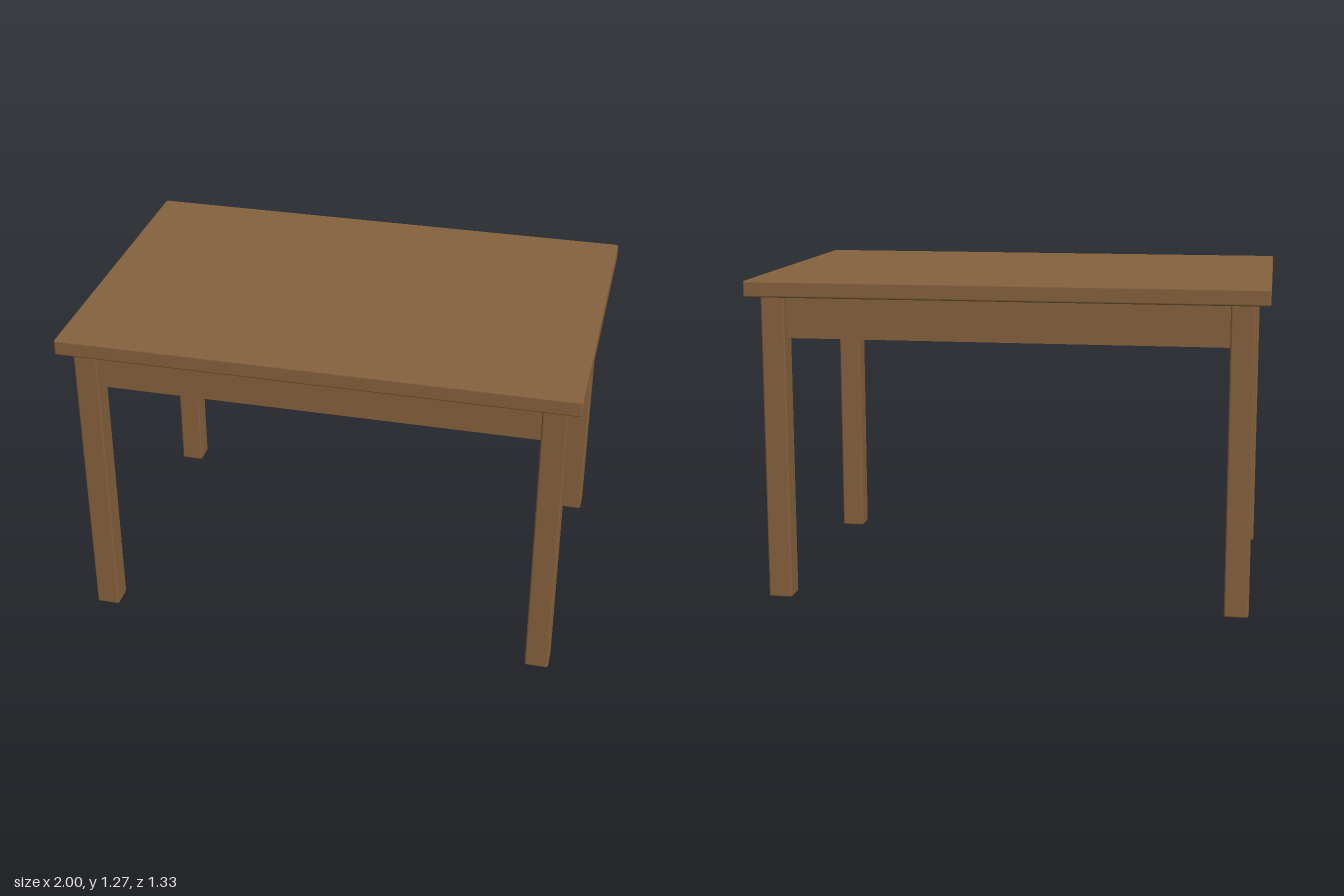
import * as THREE from 'three';
import { RoundedBoxGeometry } from 'three/addons/geometries/RoundedBoxGeometry.js';

const TOP = 1.267, UNDERSIDE = 1.203, APRON_BOTTOM = 1.037;
const BEVEL = 0.008;

export function createModel() {
  const table = new THREE.Group();
  table.name = 'table';

  const wood = new THREE.MeshStandardMaterial({ color: 0x86623e });
  wood.name = 'brown wood';

  function addPart(name, geometry, x, y, z) {
    const mesh = new THREE.Mesh(geometry, wood);
    mesh.name = name;
    mesh.position.set(x, y, z);
    table.add(mesh);
  }

  // Tabletop with softened edges
  const topHeight = TOP - UNDERSIDE;
  addPart('tabletop', new RoundedBoxGeometry(2, topHeight, 1.33, 1, BEVEL),
    0, UNDERSIDE + topHeight / 2, 0);

  // Solid apron block, set back from the outer faces of the legs
  const apronHeight = UNDERSIDE - APRON_BOTTOM;
  addPart('apron', new THREE.BoxGeometry(1.82, apronHeight, 1.16),
    0, APRON_BOTTOM + apronHeight / 2, 0);

  // Four square legs with softened edges
  const legGeometry = new RoundedBoxGeometry(0.094, UNDERSIDE, 0.094, 1, BEVEL);
  for (const [side, x] of [['Left', 0.9], ['Right', -0.9]]) {
    for (const [end, z] of [['front', 0.57], ['back', -0.57]]) {
      addPart(`${end}${side}Leg`, legGeometry, x, UNDERSIDE / 2, z);
    }
  }
  return table;
}
